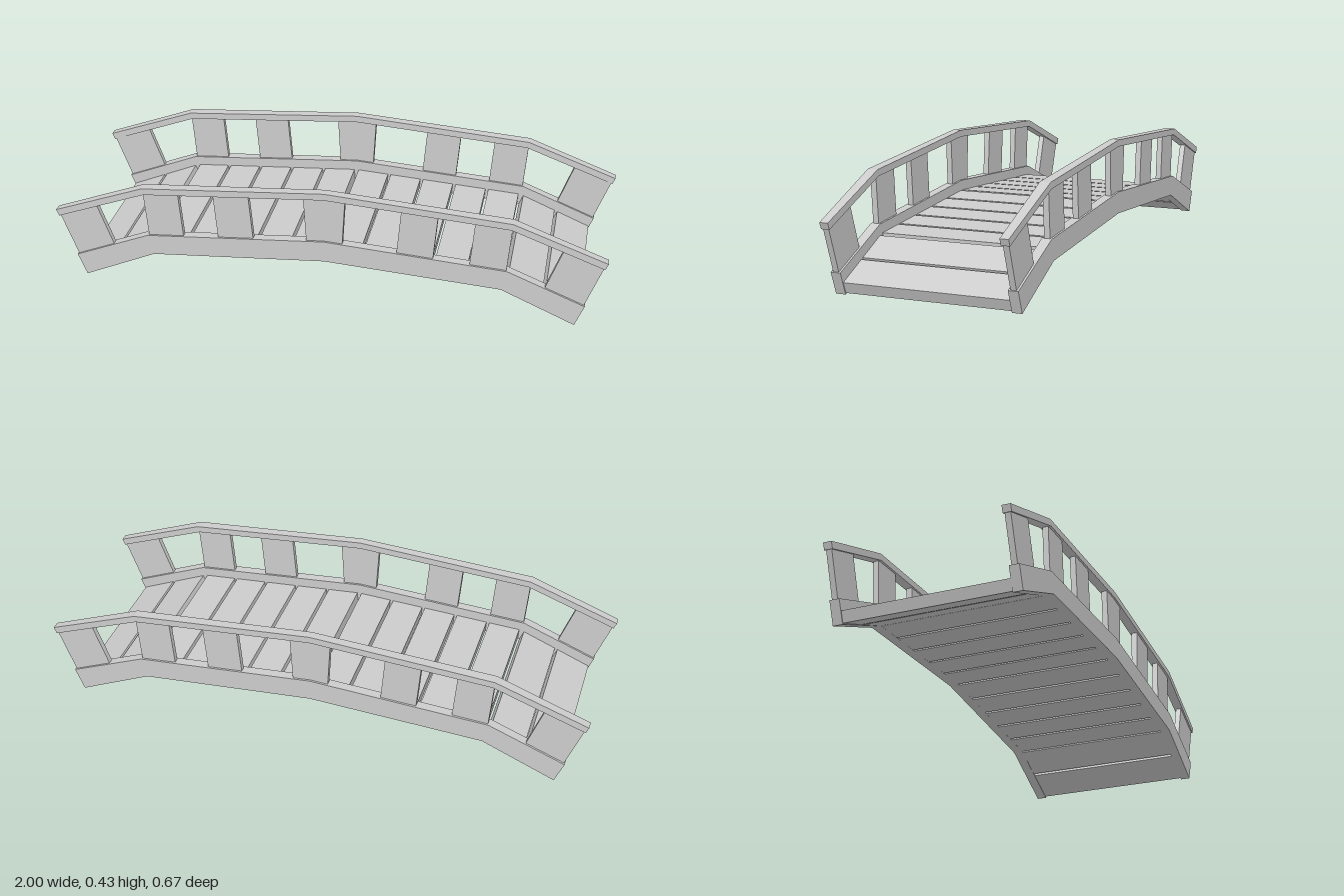
import * as THREE from 'three';

const grey = new THREE.MeshStandardMaterial({ color: 0xcccccc, flatShading: true });

// Extrude an outline drawn in x/y, centred on z with the given width
function slab(name, points, width, z = 0) {
  const shape = new THREE.Shape(points.map(([x, y]) => new THREE.Vector2(x, y)));
  const geometry = new THREE.ExtrudeGeometry(shape, { depth: width, bevelEnabled: false });
  geometry.translate(0, 0, -width / 2);
  const mesh = new THREE.Mesh(geometry, grey);
  mesh.name = name;
  mesh.position.z = z;
  return mesh;
}

// Complete a half line (outer end to middle) across x = 0
const mirrored = (half) => [...half, ...half.slice(0, -1).reverse().map(([x, y]) => [-x, y])];
const band = (bottom, top) => [...mirrored(bottom), ...mirrored(top).reverse()];

const beamBottom = [[-0.9, 0], [-0.635, 0.115], [0, 0.157]];
const beamTop = [[-0.932, 0.08], [-0.655, 0.191], [0, 0.237]];
const railBottom = [[-0.99, 0.236], [-0.66, 0.359], [0, 0.405]];
const railTop = [[-1, 0.26], [-0.666, 0.383], [0, 0.43]];

// Post outlines: bottom outer, bottom inner, top inner, top outer
const posts = [
  [[-0.926, 0.075], [-0.786, 0.13], [-0.846, 0.297], [-0.988, 0.243]],
  [[-0.65, 0.18], [-0.52, 0.19], [-0.535, 0.375], [-0.665, 0.366]],
  [[-0.39, 0.2], [-0.26, 0.21], [-0.275, 0.392], [-0.405, 0.383]],
];

function createSide(z) {
  const side = new THREE.Group();
  side.name = z > 0 ? 'frontSide' : 'backSide';
  side.add(slab('sideBeam', band(beamBottom, beamTop), 0.036, z));

  // Handrail, widest at its two bends
  const rail = slab('handrail', band(railBottom, railTop), 1, z);
  const p = rail.geometry.attributes.position;
  for (let i = 0; i < p.count; i++) {
    const x = Math.abs(p.getX(i));
    const width = x < 0.1 ? 0.033 : x < 0.8 ? 0.038 : 0.031;
    p.setZ(i, p.getZ(i) * width);
  }
  rail.geometry.computeVertexNormals();
  side.add(rail);

  for (const outline of posts) {
    side.add(slab('post', outline, 0.021, z));
    side.add(slab('post', outline.map(([x, y]) => [-x, y]).reverse(), 0.021, z));
  }
  side.add(slab('middlePost', [[-0.065, 0.225], [0.065, 0.225], [0.075, 0.408], [-0.075, 0.408]], 0.021, z));
  return side;
}

// Planks laid along one straight run of the deck
function addPlanks(deck, from, to, count) {
  const a = new THREE.Vector2(...from);
  const b = new THREE.Vector2(...to);
  const along = b.clone().sub(a);
  const length = along.length();
  const gap = 0.011;
  for (let i = 0; i < count; i++) {
    const plank = new THREE.Mesh(new THREE.BoxGeometry(length / count - gap, 0.042, 0.604), grey);
    const centre = a.clone().lerp(b, (i + 0.5) / count);
    const normal = new THREE.Vector2(-along.y, along.x).divideScalar(length);
    centre.addScaledVector(normal, 0.021);
    plank.position.set(centre.x, centre.y, 0);
    plank.rotation.z = along.angle();
    plank.name = 'plank';
    deck.add(plank);
  }
}

export function createModel() {
  const bridge = new THREE.Group();
  bridge.name = 'footbridge';
  for (const z of [0.318, -0.318]) bridge.add(createSide(z));

  const deck = new THREE.Group();
  deck.name = 'deck';
  addPlanks(deck, [-0.903, 0.003], [-0.635, 0.115], 2);
  addPlanks(deck, [-0.64, 0.115], [0, 0.157], 5);
  addPlanks(deck, [0, 0.157], [0.64, 0.115], 5);
  addPlanks(deck, [0.635, 0.115], [0.903, 0.003], 2);
  bridge.add(deck);
  return bridge;
}
